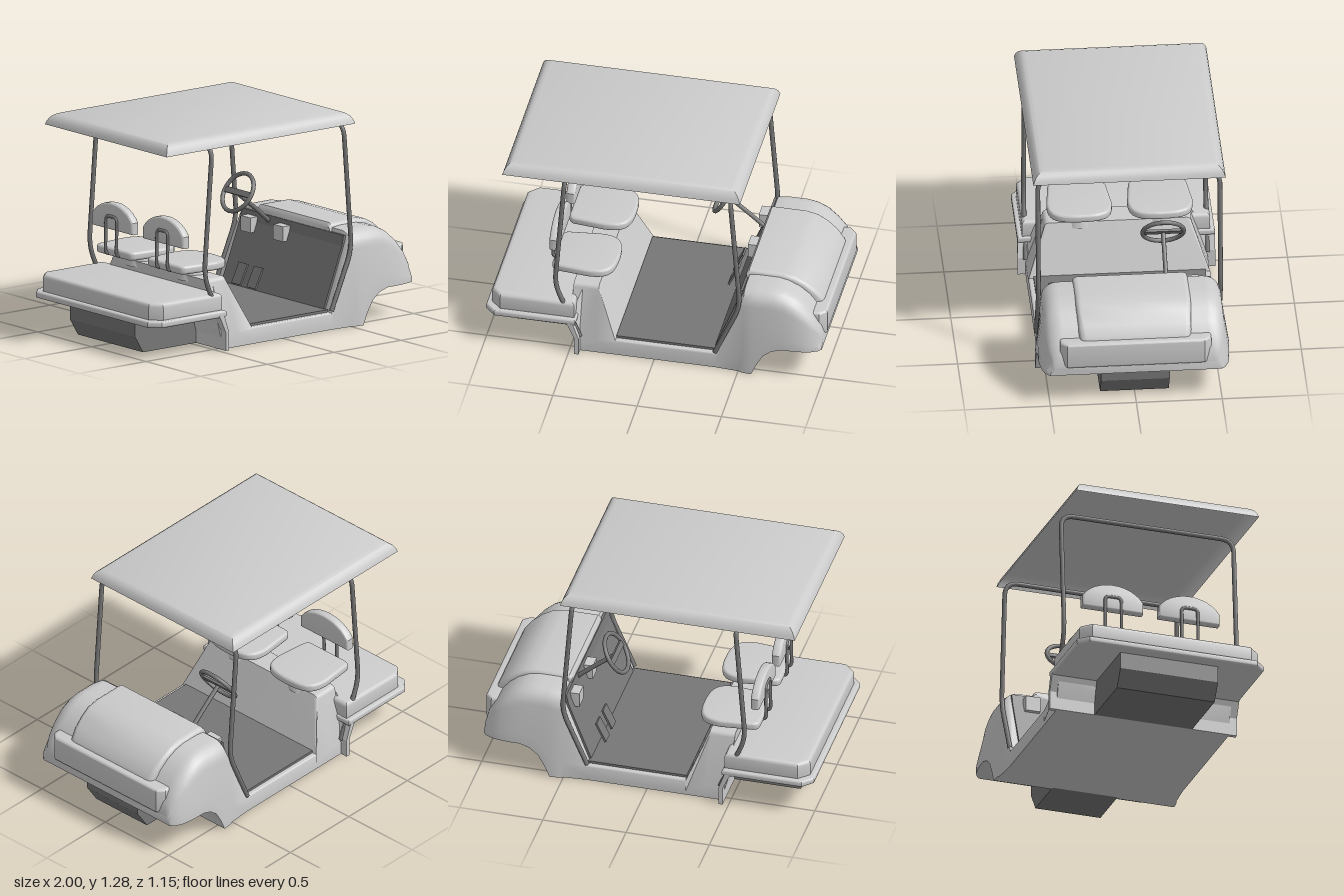
import * as THREE from 'three';
import { mergeVertices, toCreasedNormals } from 'three/addons/utils/BufferGeometryUtils.js';

const light = new THREE.MeshStandardMaterial({ color: 0xcccccc });
const dark = new THREE.MeshStandardMaterial({ color: 0x777777 });
const shell = new THREE.MeshStandardMaterial({ color: 0xcccccc, side: THREE.DoubleSide });

function add(parent, name, geometry, material, x = 0, y = 0, z = 0) {
  const mesh = new THREE.Mesh(geometry, material);
  mesh.name = name;
  mesh.position.set(x, y, z);
  parent.add(mesh);
  return mesh;
}

// Skin over rings of [x, y, z] points, with optional end caps, faces outward
function loft(rings, capStart = true, capEnd = true, crease = 0.6) {
  const n = rings[0].length, last = (rings.length - 1) * n;
  const pos = rings.flat(2), tris = [];
  for (let i = 0; i + 1 < rings.length; i++) {
    for (let j = 0; j < n; j++) {
      const k = (j + 1) % n, a = i * n, b = a + n;
      tris.push([a + j, b + j, b + k], [a + j, b + k, a + k]);
    }
  }
  for (let j = 1; j < n - 1; j++) {
    if (capStart) tris.push([0, j, j + 1]);
    if (capEnd) tris.push([last, last + j + 1, last + j]);
  }
  const v = (i) => new THREE.Vector3(pos[3 * i], pos[3 * i + 1], pos[3 * i + 2]);
  const volume = tris.reduce((s, [a, b, c]) => s + v(a).dot(v(b).cross(v(c))), 0);
  if (volume < 0) tris.forEach((t) => t.reverse());
  const g = new THREE.BufferGeometry();
  g.setAttribute('position', new THREE.Float32BufferAttribute(pos, 3));
  g.setIndex(tris.flat());
  return toCreasedNormals(g, crease);
}

// Body cross-section: bottom b, top t, half width w, side lean s, corner radius r
function section([x, b, t, w, s, r]) {
  const half = [[w, b], [w, b + (t - b) * 0.2]];
  for (let i = 0; i <= 6; i++) {
    const a = (i / 6) * Math.PI / 2;
    half.push([w - s - r + r * Math.cos(a), t - r + r * Math.sin(a)]);
  }
  const mirrored = half.slice().reverse().map(([z, y]) => [-z, y]);
  return [[0, b], ...half, [0, t], ...mirrored].map(([z, y]) => [x, y, z]);
}

// Side profile extruded evenly across the width
function slab(points, halfWidth) {
  const shape = new THREE.Shape(points.map(([x, y]) => new THREE.Vector2(x, y)));
  return new THREE.ExtrudeGeometry(shape, { depth: 2 * halfWidth, bevelEnabled: false })
    .translate(0, 0, -halfWidth);
}

// Horizontal plate from a plan shape in (x, z), rounded by a bevel
function plate(shape, y0, y1, bevel) {
  const g = new THREE.ExtrudeGeometry(shape, {
    depth: y1 - y0 - 2 * bevel, bevelEnabled: bevel > 0, bevelSize: bevel,
    bevelThickness: bevel, bevelOffset: -bevel, bevelSegments: 4, curveSegments: 10,
  });
  g.rotateX(-Math.PI / 2).translate(0, y0 + bevel, 0);
  return toCreasedNormals(g, 0.6);
}

// Tube through points with rounded bends
function pipe(points, radius, bend, segments = 120) {
  const p = points.map((q) => new THREE.Vector3(...q));
  const path = new THREE.CurvePath();
  let from = p[0];
  for (let i = 1; i < p.length - 1; i++) {
    const a = p[i].clone().add(p[i - 1].clone().sub(p[i]).setLength(bend));
    const b = p[i].clone().add(p[i + 1].clone().sub(p[i]).setLength(bend));
    path.add(new THREE.LineCurve3(from, a));
    path.add(new THREE.QuadraticBezierCurve3(a, p[i], b));
    from = b;
  }
  path.add(new THREE.LineCurve3(from, p[p.length - 1]));
  return new THREE.TubeGeometry(path, segments, radius, 10);
}

function chamferedPlan(x0, x1, w, c) {
  return new THREE.Shape([[x1, -w], [x1, w], [x0 + c, w], [x0, w - c], [x0, c - w], [x0 + c, -w]]
    .map(([x, z]) => new THREE.Vector2(x, z)));
}

function makeSeat(z) {
  const seat = new THREE.Group();
  seat.name = 'seat';
  seat.position.z = z;
  // Cushion with a rounded front
  const plan = new THREE.Shape();
  plan.moveTo(-0.61, -0.17);
  plan.lineTo(-0.42, -0.19);
  plan.bezierCurveTo(-0.3, -0.19, -0.27, -0.14, -0.27, 0);
  plan.bezierCurveTo(-0.27, 0.14, -0.3, 0.19, -0.42, 0.19);
  plan.lineTo(-0.61, 0.17);
  plan.quadraticCurveTo(-0.64, 0.16, -0.64, 0.13);
  plan.lineTo(-0.64, -0.13);
  plan.quadraticCurveTo(-0.64, -0.16, -0.61, -0.17);
  add(seat, 'cushion', plate(plan, 0.44, 0.49, 0.015), light);
  add(seat, 'pedestal', new THREE.CylinderGeometry(0.075, 0.095, 0.08, 24), light, -0.42, 0.405, 0);
  // Arched backrest
  const back = new THREE.Shape();
  back.moveTo(-0.187, 0.6);
  back.lineTo(0.187, 0.6);
  back.lineTo(0.187, 0.67);
  back.bezierCurveTo(0.11, 0.79, -0.11, 0.79, -0.187, 0.67);
  const g = new THREE.ExtrudeGeometry(back, {
    depth: 0.03, bevelSize: 0.012, bevelThickness: 0.012, bevelOffset: -0.012, bevelSegments: 3,
  });
  g.rotateY(Math.PI / 2).translate(-0.638, 0, 0);
  add(seat, 'backrest', toCreasedNormals(g, 0.6), light);
  add(seat, 'backSupport', pipe([[-0.6, 0.45, -0.05], [-0.655, 0.45, -0.05], [-0.65, 0.68, -0.05],
    [-0.65, 0.68, 0.05], [-0.655, 0.45, 0.05], [-0.6, 0.45, 0.05]], 0.01, 0.03, 70), dark);
  return seat;
}

export function createModel() {
  const cart = new THREE.Group();
  cart.name = 'golfCart';

  // Main tub: seat box, low floor, front cowl with wheel arch
  add(cart, 'body', loft([
    [-0.5, 0.2, 0.4, 0.53, 0.1, 0.03], [-0.445, 0, 0.4, 0.53, 0.1, 0.03],
    [-0.35, 0, 0.4, 0.53, 0.1, 0.03], [-0.23, 0, 0.1, 0.53, 0, 0.01],
    [0.36, 0, 0.1, 0.53, 0, 0.01], [0.5, 0, 0.47, 0.54, 0.02, 0.06],
    [0.525, 0, 0.55, 0.55, 0.03, 0.1], [0.58, 0, 0.557, 0.555, 0.03, 0.1],
    [0.61, 0.07, 0.557, 0.555, 0.03, 0.1], [0.65, 0.14, 0.557, 0.555, 0.03, 0.1],
    [0.7, 0.18, 0.557, 0.555, 0.03, 0.1], [0.76, 0.2, 0.545, 0.555, 0.03, 0.1],
    [0.82, 0.2, 0.515, 0.555, 0.03, 0.1], [0.88, 0.2, 0.465, 0.55, 0.03, 0.1],
    [0.93, 0.2, 0.4, 0.54, 0.03, 0.08], [0.97, 0.2, 0.33, 0.52, 0.03, 0.05],
    [0.988, 0.2, 0.26, 0.5, 0.02, 0.03],
  ].map(section)), light);

  // Raised centre of the hood
  add(cart, 'hood', loft([
    [0.505, 0.46, 0.555, 0.34, 0.005, 0.02], [0.52, 0.4, 0.577, 0.345, 0.01, 0.03],
    [0.72, 0.4, 0.577, 0.345, 0.01, 0.03], [0.79, 0.38, 0.562, 0.345, 0.01, 0.03],
    [0.85, 0.35, 0.53, 0.34, 0.01, 0.03], [0.91, 0.3, 0.48, 0.335, 0.01, 0.03],
    [0.95, 0.28, 0.43, 0.325, 0.01, 0.03], [0.97, 0.26, 0.39, 0.31, 0.01, 0.03],
  ].map(section)), light);

  // Front bumper, rounded at its ends
  const bumper = chamferedPlan(-1, -0.88, 0.44, 0.04);
  add(cart, 'frontBumper', plate(bumper, 0.25, 0.41, 0.015), light).rotation.y = Math.PI;

  // Rear deck over a projecting rim
  add(cart, 'rearRim', plate(chamferedPlan(-1, -0.46, 0.575, 0.06), 0.2, 0.24, 0.012), light);
  add(cart, 'rearDeck', plate(chamferedPlan(-0.97, -0.47, 0.548, 0.06), 0.22, 0.34, 0.025), light);
  add(cart, 'rearFlange', slab([[-0.44, 0], [-0.44, 0.11], [-0.475, 0.21], [-0.51, 0.21],
    [-0.465, 0.11], [-0.465, 0]], 0.575), light);

  // Underbody between the wheel wells
  add(cart, 'frontUnderbody', slab([[0.56, 0], [0.86, 0], [0.94, 0.12], [0.94, 0.21], [0.56, 0.21]], 0.2), dark);
  add(cart, 'rearUnderbody', slab([[-0.44, 0], [-0.44, 0.21], [-0.92, 0.21], [-0.92, 0.1], [-0.86, 0]], 0.3), dark);

  // Floor mat, dashboard panel and pedals
  add(cart, 'floorMat', new THREE.BoxGeometry(0.59, 0.015, 1), dark, 0.065, 0.107, 0);
  add(cart, 'dashPanel', slab([[0.345, 0.1], [0.37, 0.1], [0.515, 0.48], [0.515, 0.53], [0.5, 0.53], [0.488, 0.47]], 0.47), dark);
  for (const z of [-0.28, -0.14]) {
    add(cart, 'pedal', new THREE.BoxGeometry(0.012, 0.13, 0.08), dark, 0.335, 0.195, z).rotation.z = -0.45;
  }
  for (const z of [-0.36, -0.06]) {
    add(cart, 'dashBox', new THREE.BoxGeometry(0.07, 0.09, 0.09), light, 0.475, 0.46, z);
  }

  // Steering column and wheel
  add(cart, 'steeringColumn', pipe([[0.27, 0.69, -0.215], [0.4, 0.585, -0.215], [0.51, 0.49, -0.215]], 0.013, 0.02, 12), dark);
  const wheel = new THREE.Group();
  wheel.name = 'steeringWheel';
  wheel.position.set(0.267, 0.7, -0.215);
  wheel.rotation.z = -0.56;
  add(wheel, 'rim', new THREE.TorusGeometry(0.12, 0.013, 10, 40).rotateY(Math.PI / 2), dark);
  add(wheel, 'spoke', new THREE.BoxGeometry(0.015, 0.035, 0.23), dark);
  cart.add(wheel);

  // Two seats
  cart.add(makeSeat(0.22), makeSeat(-0.25));

  // Roof hoops
  const hoop = (side) => [...side.map(([x, y]) => [x, y, 0.53]),
    ...side.slice().reverse().map(([x, y]) => [x, y, -0.53])];
  add(cart, 'rearHoop', pipe(hoop([[-0.44, 0.1], [-0.59, 0.45], [-0.53, 1.215]]), 0.014, 0.08), dark);
  add(cart, 'frontHoop', pipe(hoop([[0.36, 0.11], [0.51, 0.46], [0.45, 1.215]]), 0.014, 0.08), dark);

  // Hollow roof with curved edges
  add(cart, 'roof', loft([[0, 1.21], [0.007, 1.232], [0.02, 1.255], [0.04, 1.272], [0.065, 1.282]]
    .map(([d, y]) => [[-0.895 + d, y, 0.56 - d], [0.515 - d, y, 0.56 - d],
      [0.515 - d, y, d - 0.56], [-0.895 + d, y, d - 0.56]]), false, true), shell);

  return cart;
}
